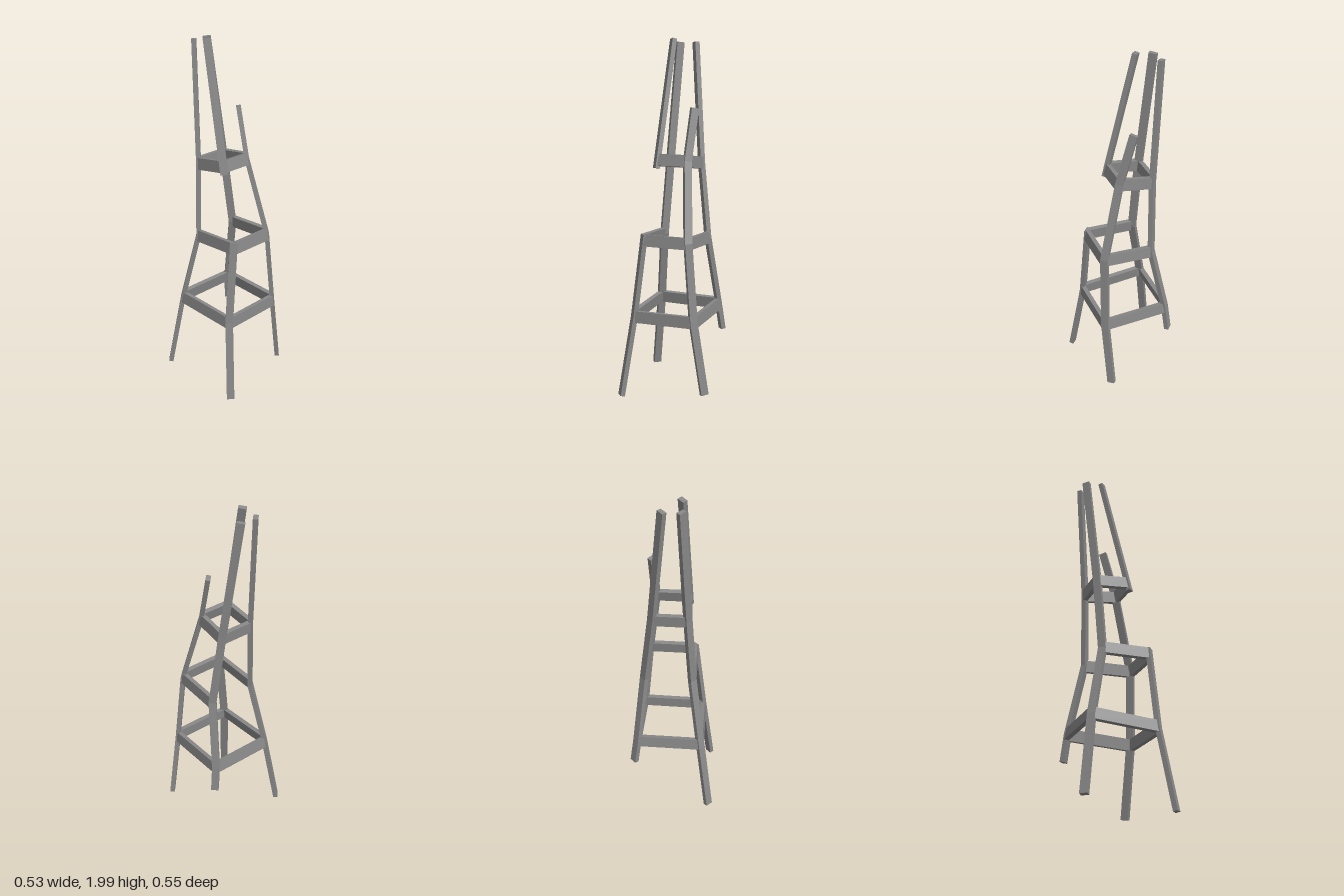
import * as THREE from 'three';

const V = (p) => new THREE.Vector3(...p);

// Each leg: foot, lower ring, middle ring, upper ring, tip
const LEGS = {
  frontRightLeg: [[-0.231, 0.009, 0.253], [-0.178, 0.462, 0.188], [-0.126, 0.9, 0.169], [-0.092, 1.335, 0.057], [-0.061, 1.996, -0.095]],
  frontLeftLeg: [[0.243, 0.06, 0.176], [0.179, 0.468, 0.185], [0.14, 0.9, 0.169], [0.088, 1.335, 0.057], [0.098, 1.62, -0.02]],
  backLeftLeg: [[0.203, 0.33, -0.202], [0.184, 0.483, -0.188], [0.145, 0.888, -0.11], [0.095, 1.308, -0.132], [0.032, 1.98, -0.195]],
  backRightLeg: [[-0.241, 0.045, -0.247], [-0.182, 0.483, -0.19], [-0.126, 0.888, -0.11], [-0.098, 1.308, -0.132], [-0.063, 1.98, -0.193]],
};
const LEG_WIDTH = 0.043, LEG_DEPTH = 0.026;
const RAIL_HEIGHT = 0.066, RAIL_DEPTH = 0.026, RAIL_OFFSET = 0.005;

// Direction of a path at node i, averaged over its neighbours
function direction(path, i) {
  const d = new THREE.Vector3();
  if (i > 0) d.add(path[i].clone().sub(path[i - 1]).normalize());
  if (i < path.length - 1) d.add(path[i + 1].clone().sub(path[i]).normalize());
  return d.normalize();
}

// Rectangular bar swept along a bent path; its wide side faces the outward vector
function sweptBar(path, outward, width, depth) {
  const rings = path.map((p, i) => {
    const d = direction(path, i);
    const side = new THREE.Vector3().crossVectors(d, outward).normalize();
    const out = new THREE.Vector3().crossVectors(side, d);
    return [[-1, -1], [1, -1], [1, 1], [-1, 1]].map(([s, o]) =>
      p.clone().addScaledVector(side, s * width / 2).addScaledVector(out, o * depth / 2));
  });
  const pos = [];
  const quad = (a, b, c, d) => [a, b, c, a, c, d].forEach((v) => pos.push(v.x, v.y, v.z));
  for (let i = 0; i < rings.length - 1; i++) {
    for (let k = 0; k < 4; k++) {
      const n = (k + 1) % 4;
      quad(rings[i][k], rings[i + 1][k], rings[i + 1][n], rings[i][n]);
    }
  }
  const a = rings[0], z = rings[rings.length - 1];
  quad(a[0], a[1], a[2], a[3]);
  quad(z[3], z[2], z[1], z[0]);
  const geo = new THREE.BufferGeometry();
  geo.setAttribute('position', new THREE.Float32BufferAttribute(pos, 3));
  geo.computeVertexNormals();
  return geo;
}

// Straight rail between two leg nodes, leaning with the legs
function rail(a, b, lean, material) {
  const along = b.clone().sub(a);
  const length = along.length();
  along.normalize();
  const out = new THREE.Vector3().crossVectors(along, lean).normalize();
  const up = new THREE.Vector3().crossVectors(out, along);
  const mesh = new THREE.Mesh(new THREE.BoxGeometry(length - 0.014, RAIL_HEIGHT, RAIL_DEPTH), material);
  mesh.quaternion.setFromRotationMatrix(new THREE.Matrix4().makeBasis(along, up, out));
  mesh.position.copy(a).add(b).multiplyScalar(0.5).addScaledVector(out, RAIL_OFFSET);
  return mesh;
}

export function createModel() {
  const model = new THREE.Group();
  model.name = 'tower';
  const material = new THREE.MeshStandardMaterial({ color: 0x888888, flatShading: true, side: THREE.DoubleSide });

  // Bent corner legs
  const paths = Object.entries(LEGS).map(([name, points]) => {
    const path = points.map(V);
    const outward = new THREE.Vector3(Math.sign(path[1].x), 0, Math.sign(path[1].z)).normalize();
    let pieces = [path];
    if (name === 'frontRightLeg') {
      // This leg is broken between the middle and upper rings
      const lower = path.slice(0, 3), upper = path.slice(3);
      lower[2] = lower[2].clone().addScaledVector(direction(lower, 2), 0.033);
      upper[0] = upper[0].clone().addScaledVector(direction(upper, 0), -0.045);
      pieces = [lower, upper];
    }
    const leg = new THREE.Group();
    leg.name = name;
    pieces.forEach((piece) => leg.add(new THREE.Mesh(sweptBar(piece, outward, LEG_WIDTH, LEG_DEPTH), material)));
    model.add(leg);
    return path;
  });

  // Three rings of cross rails; the middle ring is open at the back
  const sides = ['frontRail', 'leftRail', 'backRail', 'rightRail'];
  ['lowerRing', 'middleRing', 'upperRing'].forEach((name, r) => {
    const ring = new THREE.Group();
    ring.name = name;
    sides.forEach((side, k) => {
      if (name === 'middleRing' && side === 'backRail') return;
      const p = paths[k], q = paths[(k + 1) % 4];
      const lean = direction(p, r + 1).add(direction(q, r + 1)).normalize();
      const bar = rail(p[r + 1], q[r + 1], lean, material);
      bar.name = side;
      ring.add(bar);
    });
    model.add(ring);
  });
  return model;
}
